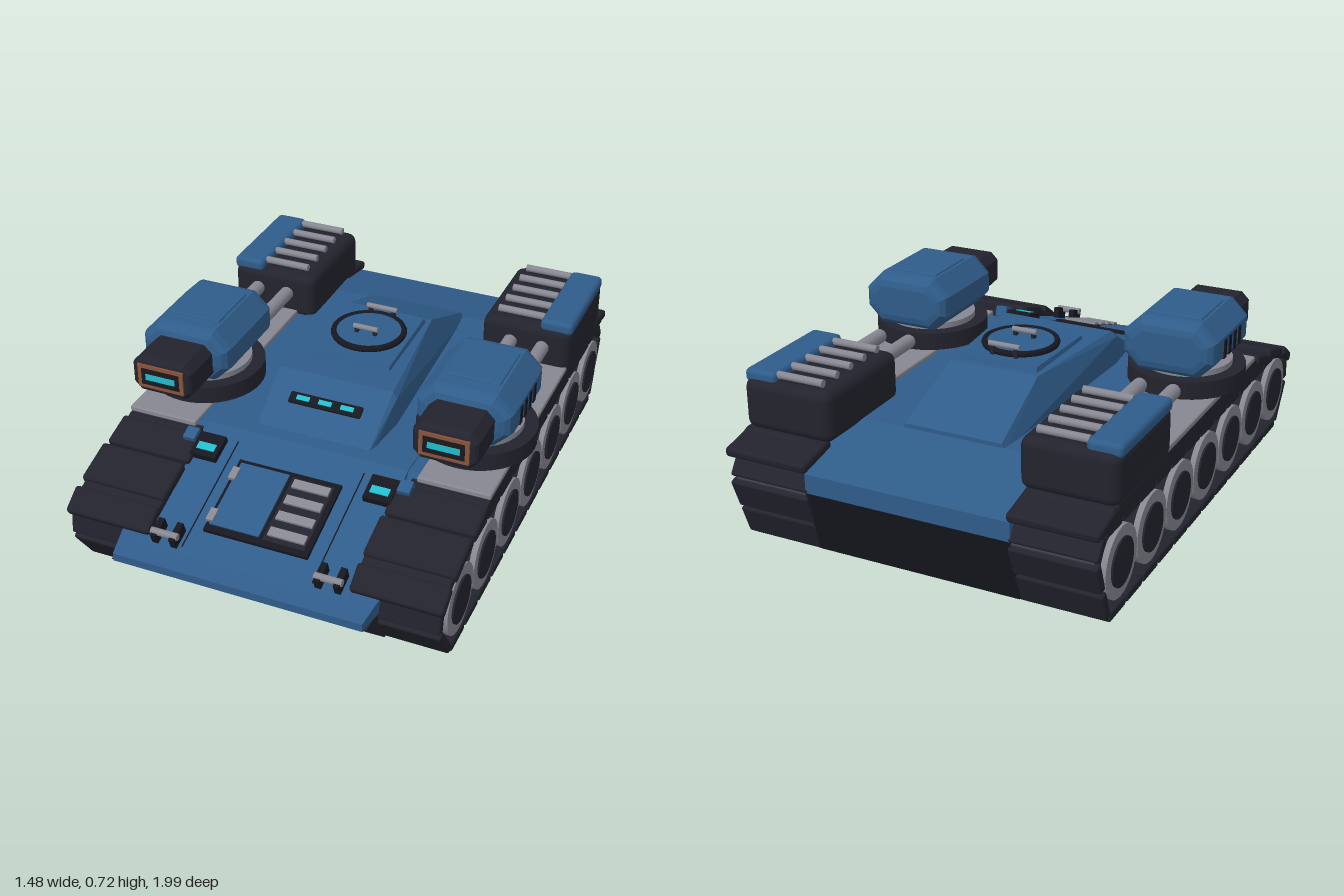
import * as THREE from 'three';
import { RoundedBoxGeometry } from 'three/addons/geometries/RoundedBoxGeometry.js';
import { ConvexGeometry } from 'three/addons/geometries/ConvexGeometry.js';

const mat = (name, color) => Object.assign(new THREE.MeshStandardMaterial({ color }), { name });

export function createModel() {
  const root = new THREE.Group();
  root.name = 'twinTurretTank';
  const blue = mat('armourBlue', 0x2f5c8a), dark = mat('darkPlate', 0x23232e), slate = mat('slate', 0x393b47);
  const grey = mat('steelGrey', 0x868791), cyan = mat('glowCyan', 0x22bccb), copper = mat('copper', 0x8a5238);
  const black = mat('blackTrim', 0x17181f);

  const add = (name, geo, material, x = 0, y = 0, z = 0, rx = 0) => {
    const m = new THREE.Mesh(geo, material);
    m.name = name;
    m.position.set(x, y, z);
    m.rotation.x = rx;
    root.add(m);
    return m;
  };
  const box = (name, material, w, h, d, x, y, z, rx = 0) => add(name, new THREE.BoxGeometry(w, h, d), material, x, y, z, rx);
  const rbox = (name, material, w, h, d, r, x, y, z, rx = 0) =>
    add(name, new RoundedBoxGeometry(w, h, d, 2, r), material, x, y, z, rx);
  const rod = (name, material, r, len, x, y, z, axis) => {
    const g = new THREE.CylinderGeometry(r, r, len, 14);
    if (axis === 'x') g.rotateZ(Math.PI / 2);
    if (axis === 'z') g.rotateX(Math.PI / 2);
    return add(name, g, material, x, y, z);
  };
  const shapeOf = pts => new THREE.Shape(pts.map(p => new THREE.Vector2(p[0], p[1])));
  // Side profile in (z, y), swept from x0 to x1
  const sweep = (name, material, pts, x0, x1) => {
    const g = new THREE.ExtrudeGeometry(shapeOf(pts), { depth: x1 - x0, bevelEnabled: false });
    g.rotateY(-Math.PI / 2);
    return add(name, g, material, x1);
  };
  // Chamfered block with bevelled ends, running along z
  const chamferBlock = (name, material, w, h, d, c, b, x, y, z) => {
    const a = w / 2, k = h / 2;
    const g = new THREE.ExtrudeGeometry(shapeOf([[-a + c, -k], [a - c, -k], [a, -k + c], [a, k - c],
      [a - c, k], [-a + c, k], [-a, k - c], [-a, -k + c]]),
    { depth: d - 2 * b, bevelSize: b, bevelThickness: b, bevelOffset: -b, bevelSegments: 3 });
    g.translate(0, 0, b - d / 2);
    return add(name, g, material, x, y, z);
  };

  // Hull
  sweep('upperHull', blue, [[0.42, 0.425], [0.99, 0.23], [1, 0.2], [0.85, 0.2], [-0.975, 0.27], [-0.975, 0.34], [-0.65, 0.415]], -0.38, 0.38);
  sweep('lowerHull', black, [[0.98, 0.2], [0.83, 0.04], [-0.91, 0.03], [-0.975, 0.27], [0.85, 0.2]], -0.38, 0.38);
  sweep('deckShoulders', blue, [[0.42, 0.42], [0.46, 0.36], [-0.85, 0.36], [-0.65, 0.41]], -0.435, 0.435);
  add('prowLip', new ConvexGeometry([-1, 1].flatMap(s => [[0.475, 0.265, 0.88], [0.455, 0.23, 1], [0.455, 0.2, 1], [0.475, 0.2, 0.86]]
    .map(([x, y, z]) => new THREE.Vector3(s * x, y, z)))), blue);
  sweep('prowUnderside', dark, [[0.995, 0.2], [0.83, 0.04], [0.78, 0.04], [0.8, 0.2]], -0.465, 0.465);

  // Central cabin with sloping nose and tail
  add('cabin', new ConvexGeometry([-1, 1].flatMap(s => [[0.22, 0.4, 0.37], [0.24, 0.4, 0.17], [0.2, 0.4, -0.65], [0.215, 0.425, 0.365],
    [0.238, 0.53, 0.17], [0.22, 0.55, 0.165], [0.17, 0.555, -0.35], [0.185, 0.43, -0.65]]
    .map(([x, y, z]) => new THREE.Vector3(s * x, y, z)))), blue);
  add('roofPlate', new ConvexGeometry([-1, 1].flatMap(s => [[0.16, 0.54, 0.05], [0.155, 0.565, 0.04], [0.16, 0.54, -0.33], [0.15, 0.572, -0.32]]
    .map(([x, y, z]) => new THREE.Vector3(s * x, y, z)))), blue);
  rod('hatchLid', blue, 0.125, 0.02, 0, 0.578, -0.14);
  add('hatchRing', new THREE.TorusGeometry(0.13, 0.012, 8, 36).rotateX(Math.PI / 2), black, 0, 0.582, -0.14);
  for (const [z, w] of [[-0.27, 0.12], [-0.11, 0.095]]) {
    rod('hatchHandle', grey, 0.01, w, 0, 0.611, z, 'x');
    for (const s of [-1, 1]) box('handlePost', dark, 0.014, 0.04, 0.014, s * w * 0.38, 0.59, z);
  }
  const noseTilt = Math.atan2(0.125, 0.2);
  rbox('visor', black, 0.28, 0.016, 0.045, 0.007, 0, 0.494, 0.257, noseTilt);
  for (const x of [-0.085, 0, 0.085]) box('visorLight', cyan, 0.05, 0.006, 0.018, x, 0.502, 0.261, noseTilt);

  // Front plate fittings, placed on the slope
  const tilt = 0.33, slopeY = z => 0.425 - 0.342 * (z - 0.42);
  const onSlope = (name, material, w, h, d, x, z, lift = 0) => box(name, material, w, h, d, x, slopeY(z) + lift, z, tilt);
  onSlope('hatchFrame', black, 0.385, 0.03, 0.305, -0.002, 0.69);
  onSlope('serviceHatch', blue, 0.185, 0.04, 0.265, -0.09, 0.685);
  onSlope('grilleBed', dark, 0.155, 0.036, 0.265, 0.095, 0.69);
  for (let i = 0; i < 4; i++) onSlope('grilleSlat', grey, 0.135, 0.02, 0.034, 0.097, 0.595 + i * 0.064, 0.018);
  for (const z of [0.61, 0.78]) onSlope('hatchHinge', grey, 0.026, 0.05, 0.05, -0.185, z, 0.004);

  for (const s of [-1, 1]) {
    onSlope('panelSeam', black, 0.004, 0.004, 0.46, s * 0.24, 0.69);
    // Headlight and tow hook
    onSlope('lampHousing', black, 0.1, 0.035, 0.1, s * 0.328, 0.53, 0.008);
    onSlope('headlight', cyan, 0.068, 0.008, 0.03, s * 0.328, 0.545, 0.026);
    onSlope('lampGuard', blue, 0.045, 0.045, 0.05, s * 0.405, 0.505, 0.012);
    for (const x of [0.265, 0.335]) onSlope('towLug', black, 0.022, 0.05, 0.075, s * x, 0.89, 0.02);
    rod('towBar', grey, 0.013, 0.1, s * 0.3, 0.298, 0.912, 'x');

    // Running gear
    const loop = [[0.78, 0.02], [0.885, 0.17], [0.87, 0.28], [0.72, 0.335], [-0.92, 0.335], [-0.97, 0.26], [-0.88, 0.02]];
    const [x0, x1] = s > 0 ? [0.375, 0.665] : [-0.665, -0.375];
    sweep('trackBody', slate, loop, x0, x1);
    loop.forEach(([z, y], i) => {
      const [z2, y2] = loop[(i + 1) % loop.length];
      const len = Math.hypot(z2 - z, y2 - y), n = Math.max(1, Math.round(len / 0.14));
      for (let k = 0; k < n; k++) {
        const t = (k + 0.5) / n;
        rbox('trackPad', dark, 0.31, 0.034, len / n - 0.012, 0.008, s * 0.527, y + (y2 - y) * t, z + (z2 - z) * t,
          -Math.atan2(y2 - y, z2 - z));
      }
    });
    for (let i = 0; i < 7; i++) {
      const z = 0.715 - i * 0.2525;
      rod('wheelRim', grey, 0.125, 0.06, s * 0.655, 0.19, z, 'x').geometry = new THREE.CylinderGeometry(0.125, 0.125, 0.06, 32).rotateZ(Math.PI / 2);
      rod('wheelHub', dark, 0.085, 0.012, s * 0.686, 0.19, z, 'x').geometry = new THREE.CylinderGeometry(0.085, 0.085, 0.012, 28).rotateZ(Math.PI / 2);
    }

    // Fenders
    sweep('fender', dark, [[0.6, 0.345], [0.46, 0.405], [-0.86, 0.405], [-0.95, 0.37], [-0.95, 0.345]], s > 0 ? 0.4 : -0.685, s > 0 ? 0.685 : -0.4);
    rbox('fenderPlate', grey, 0.265, 0.022, 0.88, 0.006, s * 0.555, 0.418, 0.01);
    for (const [z, y, d, r] of [[0.545, 0.38, 0.13, 0.28], [0.71, 0.348, 0.165, 0.3], [0.86, 0.29, 0.1, 0.6]])
      rbox('frontMudguard', dark, 0.325, 0.04, d, 0.012, s * 0.53, y, z, r);
    rbox('rearMudguard', dark, 0.32, 0.035, 0.17, 0.012, s * 0.53, 0.375, -0.905, -0.2);

    // Gun pod on its turntable
    const px = s * 0.528;
    const disc = (name, m, r, h, y) => add(name, new THREE.CylinderGeometry(r, r, h, 40), m, px, y, 0.143);
    disc('turntableFoot', grey, 0.18, 0.02, 0.43);
    disc('turntable', dark, 0.213, 0.066, 0.468);
    disc('turntableCollar', grey, 0.165, 0.025, 0.51);
    chamferBlock('podShell', blue, 0.345, 0.2, 0.39, 0.062, 0.045, px, 0.614, 0.126);
    rbox('podRoofPanel', blue, 0.2, 0.012, 0.22, 0.005, px, 0.714, 0.115);
    chamferBlock('gunMuzzle', dark, 0.235, 0.14, 0.19, 0.03, 0.025, px, 0.602, 0.39);
    box('muzzleFrame', copper, 0.178, 0.092, 0.009, px, 0.604, 0.486);
    box('muzzleRecess', black, 0.148, 0.064, 0.006, px, 0.604, 0.489);
    box('muzzleGlow', cyan, 0.115, 0.024, 0.006, px, 0.604, 0.491);
    for (let i = 0; i < 4; i++) box('podVent', black, 0.009, 0.07, 0.025, s * 0.699, 0.605, 0.055 + i * 0.049);

    // Feed pipes to the rear engine box
    for (const x of [0.465, 0.59]) {
      rod('feedPipe', grey, 0.027, 0.28, s * x, 0.5, -0.29, 'z');
      add('pipeEnd', new THREE.SphereGeometry(0.027, 14, 8), grey, s * x, 0.5, -0.15);
    }
    rbox('engineBox', dark, 0.345, 0.185, 0.45, 0.035, s * 0.522, 0.488, -0.635);
    rbox('engineArmour', blue, 0.125, 0.05, 0.42, 0.018, s * 0.635, 0.585, -0.63);
    for (let i = 0; i < 5; i++) rod('coolingBar', grey, 0.014, 0.18, s * 0.487, 0.597, -0.81 + i * 0.085, 'x');
    for (let i = 0; i < 5; i++) box('coolingBarFoot', dark, 0.15, 0.025, 0.02, s * 0.487, 0.585, -0.81 + i * 0.085);
  }
  return root;
}
